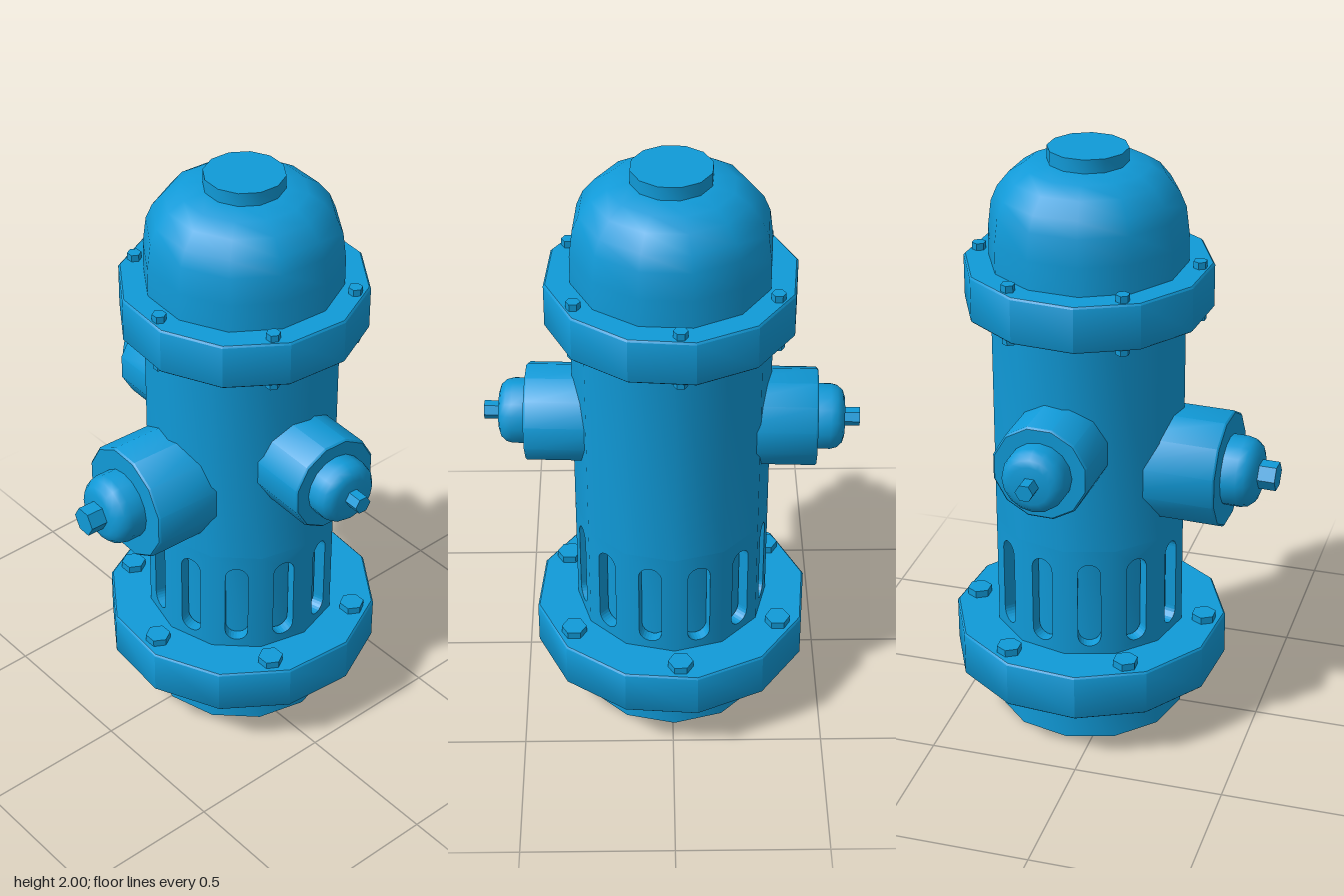
import * as THREE from 'three';
import { toCreasedNormals } from 'three/addons/utils/BufferGeometryUtils.js';

const DEG = Math.PI / 180;
const material = new THREE.MeshStandardMaterial({ color: 0x109ad8 });

function add(parent, name, geometry) {
  const mesh = new THREE.Mesh(geometry, material);
  mesh.name = name;
  parent.add(mesh);
  return mesh;
}

// Revolved profile [radius, height], listed bottom to top
function turned(profile, sides = 12, startDeg = 0) {
  const points = profile.map(([r, y]) => new THREE.Vector2(r, y));
  return toCreasedNormals(new THREE.LatheGeometry(points, sides, startDeg * DEG), 0.8);
}

// Disc-shaped ring with a small bevel on its edges
function flange(r, y0, y1) {
  const b = 0.006;
  return turned([[0, y0], [r - b, y0], [r, y0 + b], [r, y1 - b], [r - b, y1], [0, y1]], 12, 10);
}

function boltRing(parent, name, ringRadius, boltRadius, y0, y1) {
  const ring = new THREE.Group();
  ring.name = name;
  const geometry = turned([[0, y0], [boltRadius, y0], [boltRadius, y1], [0, y1]], 6);
  for (let i = 0; i < 6; i++) {
    const a = (-3.5 + i * 60) * DEG;
    add(ring, 'bolt', geometry).position.set(ringRadius * Math.cos(a), 0, ringRadius * Math.sin(a));
  }
  parent.add(ring);
}

// One flat side of the barrel with a rounded slot cut through it
function slottedPanel(radius, y0, y1) {
  const half = radius * Math.sin(15 * DEG), depth = 0.04, r = 0.038;
  const shape = new THREE.Shape();
  shape.moveTo(-half, y0);
  shape.lineTo(half, y0);
  shape.lineTo(half, y1);
  shape.lineTo(-half, y1);
  shape.closePath();
  const slot = new THREE.Path();
  slot.absarc(0, 0.67 - r, r, 0, Math.PI);
  slot.absarc(0, 0.36 + r, r, Math.PI, 2 * Math.PI);
  slot.closePath();
  shape.holes.push(slot);
  const geometry = new THREE.ExtrudeGeometry(shape, { depth, bevelEnabled: false, curveSegments: 6 });
  // Bend the outer normals so the panels shade as one round barrel
  const p = geometry.attributes.position, n = geometry.attributes.normal;
  for (let i = 0; i < p.count; i++) {
    if (n.getZ(i) > 0.9) {
      const a = (p.getX(i) / half) * 15 * DEG;
      n.setXYZ(i, Math.sin(a), 0, Math.cos(a));
    }
  }
  geometry.translate(0, 0, radius * Math.cos(15 * DEG) - depth);
  return geometry;
}

// Outlet: collar, rounded cap and hexagonal nut, pointing along +z
function outlet(parent, name, { y, angle, collarR, collarEnd, capR, capEnd, nutR, nutEnd }) {
  const group = new THREE.Group();
  group.name = name;
  const b = 0.006, rise = capEnd - collarEnd;
  const parts = {
    collar: turned([[0, 0.15], [collarR, 0.15], [collarR, collarEnd - b], [collarR - b, collarEnd], [0, collarEnd]], 12, 15),
    cap: turned([
      [capR, collarEnd - 0.01], [capR, collarEnd + rise * 0.48], [capR * 0.95, collarEnd + rise * 0.72],
      [capR * 0.8, collarEnd + rise * 0.92], [capR * 0.6, capEnd], [0, capEnd],
    ], 16),
    nut: turned([[nutR, capEnd - 0.01], [nutR, nutEnd], [0, nutEnd]], 6, 30),
  };
  for (const [part, geometry] of Object.entries(parts)) add(group, part, geometry.rotateX(Math.PI / 2));
  group.position.y = y;
  group.rotation.y = angle;
  parent.add(group);
}

export function createModel() {
  const model = new THREE.Group();
  model.name = 'fireHydrant';
  const body = new THREE.Group();
  body.name = 'body';
  body.position.x = 0.094;
  model.add(body);
  const R = 0.322, slotTop = 0.72;

  // Base and barrel
  add(body, 'foot', turned([[0, 0], [R, 0], [R, 0.18]], 12, 1));
  add(body, 'baseFlange', flange(0.465, 0.17, 0.33));
  add(body, 'slotFloor', turned([[0.276, 0.32], [0.276, slotTop + 0.01]], 12, 1));
  add(body, 'barrel', turned([[R, slotTop], [R, 1.48]], 12, 1));
  const panel = slottedPanel(R, 0.32, slotTop);
  for (let i = 0; i < 12; i++) add(body, 'slottedPanel', panel).rotation.y = (16 + i * 30) * DEG;

  // Bonnet
  add(body, 'topFlange', flange(0.405, 1.47, 1.625));
  add(body, 'dome', turned([
    [R, 1.62], [R, 1.72], [0.311, 1.81], [0.29, 1.86], [0.25, 1.91], [0.2, 1.942], [0.13, 1.955], [0, 1.957],
  ], 12, 11));
  add(body, 'topCap', turned([[0.13, 1.945], [0.13, 2], [0, 2]], 12, 11));

  // Bolts
  boltRing(body, 'baseBolts', 0.397, 0.042, 0.325, 0.355);
  boltRing(body, 'topBolts', 0.363, 0.023, 1.62, 1.648);
  boltRing(body, 'undersideBolts', 0.363, 0.023, 1.447, 1.475);

  // Outlets: two small ones front and back, one large on the right
  const turn = -0.045;
  const small = { y: 1.08, collarR: 0.162, collarEnd: 0.472, capR: 0.108, capEnd: 0.56, nutR: 0.03, nutEnd: 0.61 };
  outlet(body, 'frontOutlet', { ...small, angle: turn });
  outlet(body, 'backOutlet', { ...small, angle: Math.PI + turn });
  outlet(body, 'rightOutlet', {
    y: 0.944, angle: -Math.PI / 2 + turn,
    collarR: 0.196, collarEnd: 0.485, capR: 0.118, capEnd: 0.59, nutR: 0.048, nutEnd: 0.648,
  });
  return model;
}
